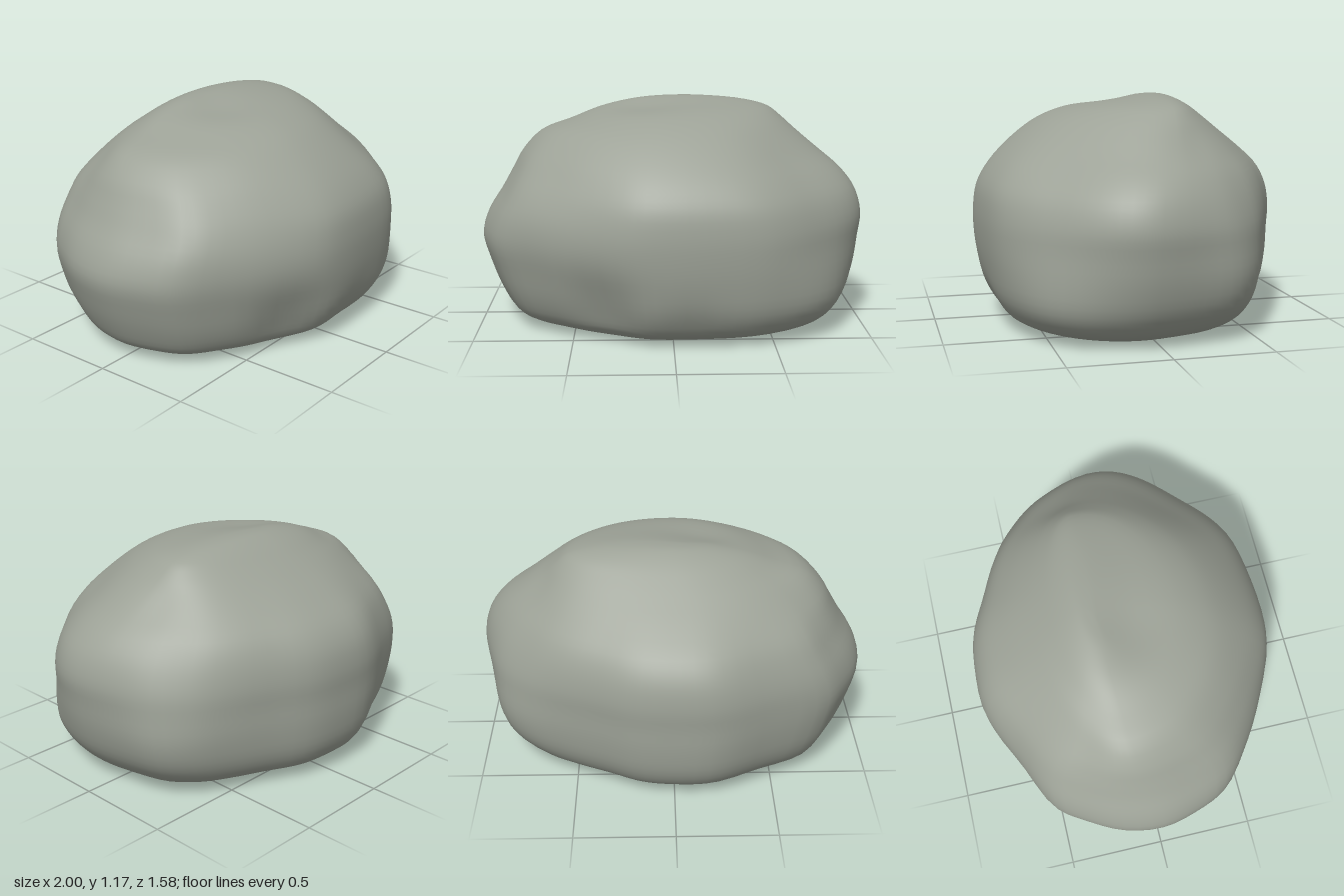
import * as THREE from 'three';
import { mergeVertices } from 'three/addons/utils/BufferGeometryUtils.js';

// Plan outline at the widest level, as x, z pairs
const OUTLINE = [
  [-1, 0], [-0.97, -0.2], [-0.88, -0.38], [-0.77, -0.53], [-0.5, -0.66], [-0.23, -0.78], [0, -0.79],
  [0.2, -0.76], [0.4, -0.67], [0.6, -0.58], [0.75, -0.49], [0.88, -0.35], [0.95, -0.18], [1, 0.05],
  [0.98, 0.2], [0.9, 0.35], [0.75, 0.52], [0.6, 0.65], [0.44, 0.73], [0.2, 0.77], [-0.07, 0.78],
  [-0.25, 0.75], [-0.5, 0.63], [-0.7, 0.49], [-0.88, 0.35], [-0.96, 0.18],
];

// Level height, then the reach to -x, +x, -z and +z
const LEVELS = [
  [0, 0.3, 0.3, 0.22, 0.22],
  [0, 0.58, 0.57, 0.42, 0.44],
  [0.012, 0.69, 0.69, 0.52, 0.53],
  [0.035, 0.77, 0.76, 0.6, 0.61],
  [0.08, 0.85, 0.83, 0.69, 0.68],
  [0.18, 0.91, 0.91, 0.75, 0.74],
  [0.32, 0.965, 0.96, 0.775, 0.77],
  [0.46, 1, 0.985, 0.78, 0.785],
  [0.58, 0.965, 1, 0.785, 0.785],
  [0.7, 0.89, 0.97, 0.765, 0.765],
  [0.8, 0.835, 0.9, 0.71, 0.71],
  [0.9, 0.78, 0.785, 0.6, 0.62],
  [1, 0.68, 0.67, 0.47, 0.5],
  [1.06, 0.52, 0.6, 0.39, 0.4],
  [1.11, 0.39, 0.53, 0.32, 0.26],
  [1.145, 0.27, 0.4, 0.26, 0.06],
  [1.165, 0.17, 0.2, 0.21, -0.07],
];

// Soft dents and bulges: centre, push vector, radius
const DENTS = [
  [[0.7, 0.12, 0.46], [0.06, 0, 0.05], 0.28], // front left foot
  [[0.62, 0.82, 0.45], [-0.025, 0, -0.025], 0.28], // facet above it
  [[0.82, 0.28, -0.35], [0.035, 0, -0.025], 0.25], // back left foot
  [[0.8, 0.78, -0.4], [-0.03, 0, 0.025], 0.25], // slope above it
  [[-0.35, 0.17, 0.66], [0.02, 0, -0.055], 0.2], // hollow low in the front
  [[-0.65, 0.66, 0.38], [-0.02, 0, 0.03], 0.24], // brow above the hollow
  [[-0.15, 1.13, 0.02], [0, -0.025, 0], 0.2], // dip in the crown
  [[0.66, 0.95, -0.2], [-0.012, -0.01, 0], 0.13], // groove beside the crown
  [[-0.6, 0.98, -0.35], [0.01, -0.02, 0.01], 0.22], // worn back right shoulder
  [[0.08, 0.12, 0.72], [0, 0, -0.02], 0.14], // notch in the front foot
].map(([c, push, r]) => [new THREE.Vector3(...c), new THREE.Vector3(...push), r]);

function ringPoint(p, [y, left, right, back, front]) {
  const cz = -0.13 * THREE.MathUtils.smoothstep(y, 0.6, 1.165);
  // Upper levels soften towards an ellipse
  const round = THREE.MathUtils.smoothstep(y, 0.7, 1.15);
  let u = p.x, v = p.z / 0.785;
  const k = THREE.MathUtils.lerp(1, 1 / Math.hypot(u, v), round);
  u *= k;
  v *= k;
  return new THREE.Vector3(u * (u < 0 ? left : right), y, cz + v * (v < 0 ? back + cz : front - cz));
}

function rockGeometry(cols = 80, rows = 60) {
  const outline = new THREE.CatmullRomCurve3(OUTLINE.map(([x, z]) => new THREE.Vector3(x, 0, z)), true);
  const positions = [], index = [];

  // One smooth rib per column, from base centre to crown
  for (let j = 0; j < cols; j++) {
    const p = outline.getPoint(j / cols);
    const rib = new THREE.CatmullRomCurve3([
      new THREE.Vector3(0, 0, 0),
      ...LEVELS.map((level) => ringPoint(p, level)),
      new THREE.Vector3(-0.03, 1.172, -0.14),
    ]);
    for (let i = 0; i <= rows; i++) {
      const q = rib.getPoint(i / rows), start = q.clone();
      for (const [c, push, r] of DENTS) {
        q.addScaledVector(push, Math.exp(-start.distanceToSquared(c) / (r * r)));
      }
      positions.push(q.x, start.y < 0.003 ? 0 : Math.max(0, q.y), q.z);
    }
  }
  const at = (i, j) => (j % cols) * (rows + 1) + i;
  for (let j = 0; j < cols; j++) {
    for (let i = 0; i < rows; i++) {
      const a = at(i, j), b = at(i, j + 1), c = at(i + 1, j + 1), d = at(i + 1, j);
      if (i < rows - 1) index.push(a, d, c);
      if (i > 0) index.push(a, c, b);
    }
  }
  let geometry = new THREE.BufferGeometry();
  geometry.setAttribute('position', new THREE.Float32BufferAttribute(positions, 3));
  geometry.setIndex(index);
  geometry = mergeVertices(geometry, 1e-5);
  geometry.computeVertexNormals();
  return geometry;
}

export function createModel() {
  const stone = new THREE.MeshStandardMaterial({ color: 0x9da297 });
  stone.name = 'greyStone';
  const boulder = new THREE.Mesh(rockGeometry(), stone);
  boulder.name = 'boulder';
  const group = new THREE.Group();
  group.name = 'rock';
  group.add(boulder);
  return group;
}
